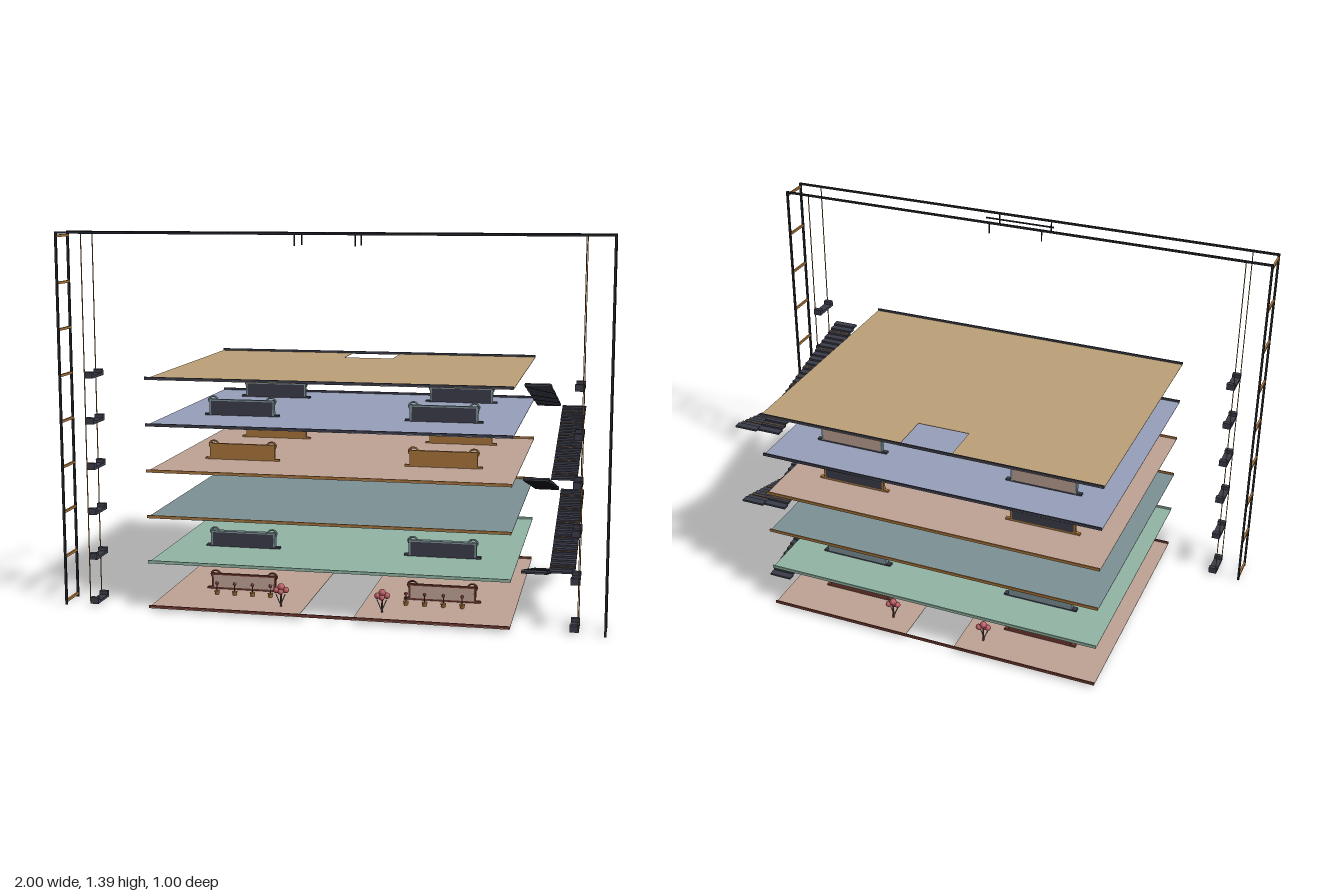
import * as THREE from 'three';

const mat = (name, color) => Object.assign(new THREE.MeshStandardMaterial({ color }), { name });
const M = {
  tan: mat('tan', 0xbda178), lavender: mat('lavender', 0x98a0bc), pink: mat('dusty pink', 0xbfa496),
  green: mat('sage green', 0x92b5a5), teal: mat('blue grey', 0x7d9196), dark: mat('dark slate', 0x3a3c48),
  brown: mat('wood brown', 0xa8743a), maroon: mat('maroon', 0x6e382e), rose: mat('rose', 0xb85a62),
  black: mat('black steel', 0x24262c),
};

function box(parent, name, m, w, h, d, x, y, z) {
  const mesh = new THREE.Mesh(new THREE.BoxGeometry(w, h, d), m);
  mesh.name = name;
  mesh.position.set(x, y, z);
  parent.add(mesh);
  return mesh;
}

function add(parent, name, m, geo, x = 0, y = 0, z = 0) {
  const mesh = new THREE.Mesh(geo, m);
  mesh.name = name;
  mesh.position.set(x, y, z);
  parent.add(mesh);
  return mesh;
}

function group(parent, name, x = 0, y = 0, z = 0) {
  const g = new THREE.Group();
  g.name = name;
  g.position.set(x, y, z);
  parent.add(g);
  return g;
}

const W = 1.33, STEP = 0.17, BASE = 0.012, AISLE = 0.1;
const levelY = (i) => BASE + STEP * i;

// Each level: floor colour, edge trim, and colours of its counters
const LEVELS = [
  { floor: M.pink, trim: M.maroon, counter: { front: M.pink, back: M.maroon, end: M.maroon, base: M.maroon, deep: 0.014 } },
  { floor: M.green, trim: M.green, counter: { front: M.dark, back: M.teal, end: M.teal, base: M.dark, deep: 0.022 } },
  { floor: M.teal, trim: M.brown },
  { floor: M.pink, trim: M.brown, counter: { front: M.brown, back: M.dark, end: M.brown, base: M.brown, deep: 0.014 } },
  { floor: M.lavender, trim: M.dark, counter: { front: M.dark, back: M.pink, end: M.teal, base: M.dark, deep: 0.016 } },
  { floor: M.tan, trim: M.dark },
];

// Free-standing counter with front and back panels and curled end rails
function counter(parent, c, x, y, z) {
  const g = group(parent, 'counter', x, y, z);
  box(g, 'counterBase', c.base, 0.29, 0.007, c.deep, 0, 0.005, 0);
  box(g, 'counterFront', c.front, 0.24, 0.048, c.deep / 2, 0, 0.032, c.deep / 4);
  box(g, 'counterBack', c.back, 0.24, 0.048, c.deep / 2, 0, 0.032, -c.deep / 4);
  box(g, 'counterTop', c.end, 0.24, 0.006, c.deep, 0, 0.059, 0);
  for (const s of [-1, 1]) {
    box(g, 'counterEnd', c.end, 0.008, 0.06, c.deep, s * 0.123, 0.034, 0);
    const path = new THREE.CatmullRomCurve3([[0.095, 0.062], [0.105, 0.071], [0.122, 0.071], [0.131, 0.06], [0.127, 0.048]]
      .map(([a, b]) => new THREE.Vector3(s * a, b, 0)));
    add(g, 'counterRail', c.end, new THREE.TubeGeometry(path, 10, 0.0035, 6));
  }
}

// Small blossoming tree
function tree(parent, x, z) {
  const g = group(parent, 'tree', x, BASE, z);
  add(g, 'trunk', M.maroon, new THREE.CylinderGeometry(0.003, 0.004, 0.06, 6), 0, 0.03, 0);
  for (const [a, b, c, r] of [[0, 0.075, 0, 0.014], [-0.017, 0.063, 0.004, 0.012], [0.017, 0.063, -0.004, 0.012], [0, 0.058, 0.008, 0.011]])
    add(g, 'blossom', M.rose, new THREE.IcosahedronGeometry(r, 1), a, b, c);
  for (const s of [-1, 1]) {
    const twig = add(g, 'twig', M.teal, new THREE.CylinderGeometry(0.002, 0.002, 0.045, 5), s * 0.009, 0.03, 0.008);
    twig.rotation.z = -s * 0.4;
  }
}

// Potted flower
function pot(parent, x, z) {
  const g = group(parent, 'flowerPot', x, BASE, z);
  add(g, 'pot', M.brown, new THREE.CylinderGeometry(0.011, 0.007, 0.016, 8), 0, 0.008, 0);
  add(g, 'stem', M.maroon, new THREE.CylinderGeometry(0.002, 0.002, 0.03, 5), 0, 0.028, 0);
  add(g, 'flower', M.rose, new THREE.IcosahedronGeometry(0.008, 0), 0, 0.045, 0);
}

// Floor: two wings and a middle aisle; open at ground, with a rear opening on top
function floor(parent, i) {
  const L = LEVELS[i], y = levelY(i), wing = W / 2 - AISLE;
  const g = group(parent, 'level' + (i + 1));
  for (const s of [-1, 1]) {
    box(g, 'floorWing', L.floor, wing, 0.002, 1, s * (AISLE + wing / 2), y, 0);
    box(g, 'edgeTrim', L.trim, W, 0.011, 0.005, 0, y + 0.004, s * 0.4975);
  }
  if (i > 0) {
    const depth = i === 5 ? 0.83 : 1;
    box(g, 'floorAisle', L.floor, AISLE * 2, 0.002, depth, 0, y, 0.5 - depth / 2);
  }
  if (L.counter)
    for (const z of [0.2, -0.312]) for (const s of [-1, 1]) counter(g, L.counter, s * 0.385, y, z);
}

// Flight of thin treads between two levels
function flight(parent, i) {
  const g = group(parent, 'stairFlight');
  const x = i % 2 ? 0.835 : 0.735, dir = i % 2 ? -1 : 1, n = 24, run = 0.68 / n;
  for (let k = 0; k < n; k++) {
    const t = (k + 0.5) / n;
    const z = dir * (-0.34 + 0.68 * t), y = levelY(i) + STEP * t - 0.002;
    box(g, 'tread', M.dark, 0.092, 0.0075, run, x, y, z);
    if (k % 4 === 1) box(g, 'nosing', M.brown, 0.092, 0.002, 0.003, x, y + 0.0045, z);
  }
}

export function createModel() {
  const model = new THREE.Group();
  model.name = 'multiLevelHall';

  for (let i = 0; i < 6; i++) floor(model, i);
  for (let i = 0; i < 5; i++) flight(model, i);

  // Ground garden
  for (const s of [-1, 1]) {
    for (const z of [0.388, -0.163, -0.41]) tree(model, s * 0.19, z);
    for (const z of [0.28, -0.23])
      for (let k = 0; k < 4; k++) pot(model, s * (0.26 + k * 0.07), z);
  }

  // Gantry frame with ladder ends
  const frame = group(model, 'gantry');
  const Z = [0.372, 0.482];
  for (const z of Z) {
    box(frame, 'topRail', M.black, 2, 0.008, 0.007, 0, 1.386, z);
    for (const s of [-1, 1]) {
      box(frame, 'post', M.black, 0.008, 1.39, 0.008, s * 0.996, 0.695, z);
      box(frame, 'cable', M.brown, 0.003, 1.37, 0.003, s * 0.9, 0.7, z);
      box(frame, 'hanger', M.black, 0.004, 0.042, 0.004, s * 0.108, 1.364, z);
    }
  }
  for (const s of [-1, 1])
    for (let i = 0; i < 9; i++)
      box(frame, 'rung', M.brown, 0.008, 0.009, 0.11, s * 0.996, BASE + 0.002 + STEP * i, 0.427);
  box(frame, 'centreBar', M.black, 0.28, 0.005, 0.005, 0, 1.386, 0.42);

  // Cradles hung on the cables, one per level
  for (const s of [-1, 1])
    for (let i = 0; i < 6; i++) {
      const g = group(model, 'cradle', s * 0.888, levelY(i), 0.422);
      box(g, 'cradleBase', M.dark, 0.032, 0.01, 0.11, 0, 0, 0);
      for (const e of [-1, 1]) box(g, 'cradleEnd', M.dark, 0.032, 0.024, 0.018, 0, 0.007, e * 0.046);
    }
  return model;
}
